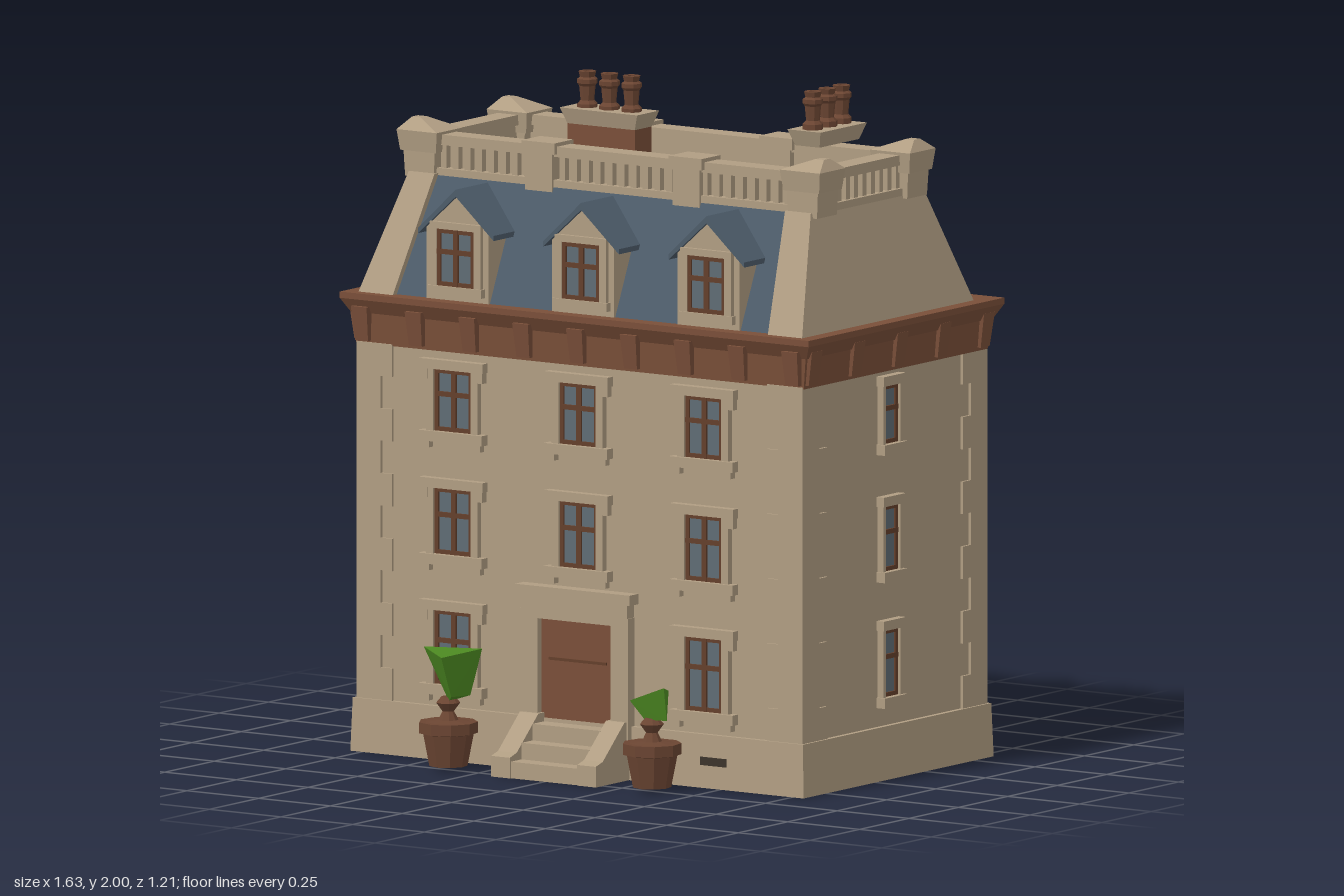
import * as THREE from 'three';
import { ConvexGeometry } from 'three/addons/geometries/ConvexGeometry.js';

const mat = (name, color) => Object.assign(new THREE.MeshStandardMaterial({ color }), { name });
const M = {
  stone: mat('stone', 0xb09d82),
  cornice: mat('corniceBrown', 0x7a4f39),
  slate: mat('slate', 0x4d5c6a),
  roof: mat('flatRoofGrey', 0x6c6b61),
  frame: mat('frameBrown', 0x643f2b),
  glass: mat('glass', 0x5f6c74),
  pot: mat('potBrown', 0x6b4532),
  leaf: mat('leafGreen', 0x4d8a22),
  dark: mat('ventDark', 0x3c332b),
};
const BODY_Z = -0.115, ROOF_Z = -0.085;
const COLUMNS = [-0.437, 0, 0.437];

function add(parent, name, geo, material, x = 0, y = 0, z = 0) {
  const mesh = new THREE.Mesh(geo, material);
  mesh.name = name;
  mesh.position.set(x, y, z);
  parent.add(mesh);
  return mesh;
}

function group(parent, name, x = 0, y = 0, z = 0, rotY = 0) {
  const g = new THREE.Group();
  g.name = name;
  g.position.set(x, y, z);
  g.rotation.y = rotY;
  parent.add(g);
  return g;
}

// box given by its centre in x and z and its bottom and top heights
function slab(parent, name, material, x, z, w, d, y0, y1) {
  return add(parent, name, new THREE.BoxGeometry(w, y1 - y0, d), material, x, (y0 + y1) / 2, z);
}

// box whose top has its own size and sideways shift
function frustum(w0, d0, w1, d1, y0, y1, shift = 0) {
  const geo = new THREE.BoxGeometry(1, 1, 1);
  const p = geo.attributes.position;
  for (let i = 0; i < p.count; i++) {
    const top = p.getY(i) > 0;
    p.setXYZ(i, p.getX(i) * (top ? w1 : w0) + (top ? shift : 0), top ? y1 : y0, p.getZ(i) * (top ? d1 : d0));
  }
  geo.computeVertexNormals();
  return geo;
}

function extrude(points, depth) {
  const shape = new THREE.Shape(points.map(([x, y]) => new THREE.Vector2(x, y)));
  return new THREE.ExtrudeGeometry(shape, { depth, bevelEnabled: false });
}

function faceted(profile, sides) {
  const geo = new THREE.LatheGeometry(profile.map(([r, y]) => new THREE.Vector2(r, y)), sides).toNonIndexed();
  geo.computeVertexNormals();
  return geo;
}

// glass with a brown frame and cross bars
function sash(parent, x, z, w, y0, y1, bars = true) {
  const g = group(parent, 'sash', x, 0, z);
  const h = y1 - y0, t = 0.012;
  slab(g, 'glass', M.glass, 0, 0.002, w, 0.006, y0, y1);
  for (const s of [-1, 1]) {
    slab(g, 'sashStile', M.frame, s * (w - t) / 2, 0.007, t, 0.008, y0, y1);
    slab(g, 'sashRail', M.frame, 0, 0.007, w, 0.008, s < 0 ? y0 : y1 - t, s < 0 ? y0 + t : y1);
  }
  if (bars) slab(g, 'mullion', M.frame, 0, 0.008, 0.016, 0.008, y0, y1);
  slab(g, 'transom', M.frame, 0, 0.008, w, 0.008, y0 + h * 0.56, y0 + h * 0.56 + 0.014);
}

// sash with stone jambs, lintel and sill
function wallWindow(parent, x, z, w, y0, y1, narrow) {
  const g = group(parent, 'window', x, 0, z);
  const j = narrow ? 0.014 : 0.024, ear = narrow ? 0.006 : 0.022;
  sash(g, 0, 0.001, w, y0, y1, !narrow);
  for (const s of [-1, 1]) slab(g, 'jamb', M.stone, s * (w + j) / 2, 0.008, j, 0.024, y0, y1);
  slab(g, 'lintel', M.stone, 0, 0.01, w + 2 * (j + ear), 0.032, y1, y1 + 0.028);
  slab(g, 'sill', M.stone, 0, 0.012, w + 2 * (j + ear), 0.036, y0 - 0.03, y0);
  if (!narrow) for (const s of [-1, 1]) {
    slab(g, 'lintelEar', M.stone, s * (w / 2 + j + 0.007), 0.008, 0.022, 0.026, y1 - 0.03, y1);
    slab(g, 'sillEar', M.stone, s * (w / 2 + j), 0.008, 0.02, 0.026, y0 - 0.05, y0 - 0.03);
  }
}

function dormer(parent, x) {
  const g = group(parent, 'dormer', x);
  const face = [[-0.108, 1.33], [0.108, 1.33], [0.108, 1.54], [0, 1.642], [-0.108, 1.54]];
  add(g, 'dormerBody', extrude(face, 0.18), M.stone, 0, 0, 0.24);
  const cover = [[-0.132, 1.52], [0, 1.637], [0.132, 1.52], [0.132, 1.535], [0, 1.658], [-0.132, 1.535]];
  add(g, 'dormerRoof', extrude(cover, 0.2), M.slate, 0, 0, 0.23);
  sash(g, 0, 0.42, 0.13, 1.375, 1.54);
  for (const s of [-1, 1]) slab(g, 'dormerJamb', M.stone, s * 0.077, 0.424, 0.024, 0.02, 1.355, 1.54);
  slab(g, 'dormerSill', M.stone, 0, 0.426, 0.19, 0.026, 1.35, 1.375);
  slab(g, 'dormerLintel', M.stone, 0, 0.424, 0.178, 0.02, 1.54, 1.56);
}

function chimneyPots(parent, x, y, z, dx, dz) {
  const geo = faceted([[0, 0], [0.03, 0], [0.03, 0.018], [0.02, 0.028], [0.024, 0.07], [0.03, 0.078],
    [0.03, 0.09], [0.022, 0.096], [0.026, 0.112], [0.012, 0.112], [0.01, 0.08], [0, 0.08]], 8);
  for (const i of [-1, 0, 1]) add(parent, 'chimneyPot', geo, M.pot, x + i * dx, y, z + i * dz);
}

// straight run of parapet with balusters, along local x
function balustrade(parent, x, z, length) {
  const g = group(parent, 'balustrade', x, 0, z);
  slab(g, 'bottomRail', M.stone, 0, 0, length, 0.075, 1.655, 1.685);
  slab(g, 'backing', M.stone, 0, -0.008, length, 0.03, 1.68, 1.76);
  slab(g, 'topRail', M.stone, 0, 0, length, 0.07, 1.752, 1.782);
  const n = Math.round(length / 0.042);
  for (let i = 0; i < n; i++) {
    slab(g, 'baluster', M.stone, ((i + 0.5) / n - 0.5) * length, 0.014, 0.02, 0.026, 1.68, 1.755);
  }
}

function planter(parent, x, z, leafPoints) {
  const g = group(parent, 'planter', x, 0, z);
  add(g, 'flowerPot', faceted([[0, 0.012], [0.056, 0.012], [0.074, 0.105], [0.086, 0.108], [0.086, 0.14],
    [0.066, 0.14], [0.03, 0.145], [0.017, 0.17], [0.035, 0.195], [0.02, 0.212], [0, 0.212]], 9), M.pot);
  add(g, 'foliage', new ConvexGeometry(leafPoints.map((p) => new THREE.Vector3(...p))), M.leaf);
}

export function createModel() {
  const model = new THREE.Group();
  model.name = 'townhouse';
  const house = group(model, 'house', 0, 0, BODY_Z);

  // plinth, walls and corner stones
  add(house, 'plinth', frustum(1.58, 0.962, 1.57, 0.952, 0, 0.155), M.stone);
  slab(house, 'walls', M.stone, 0, 0, 1.54, 0.92, 0.15, 1.2);
  const courses = 11, step = 1.035 / courses;
  for (const sx of [-1, 1]) for (const sz of [-1, 1]) for (let i = 0; i < courses; i++) {
    const l = i % 2 ? 0.085 : 0.125, y = 0.155 + i * step;
    slab(house, 'quoin', M.stone, sx * (0.778 - l / 2), sz * (0.468 - l / 2), l, l, y, y + step);
  }

  // cornice with brackets
  add(house, 'corniceFrieze', frustum(1.56, 0.93, 1.585, 0.945, 1.185, 1.29), M.cornice);
  add(house, 'corniceCrown', frustum(1.59, 0.945, 1.635, 0.99, 1.275, 1.315), M.cornice);
  slab(house, 'corniceTop', M.cornice, 0, 0, 1.635, 0.99, 1.315, 1.333);

  // four faces: windows, brackets and vents
  const faces = [
    ['front', 0, 0.46, 1.5], ['back', Math.PI, 0.46, 1.5],
    ['left', Math.PI / 2, 0.77, 0.87], ['right', -Math.PI / 2, 0.77, 0.87],
  ];
  for (const [name, turn, dist, span] of faces) {
    const wall = group(house, name + 'Face', 0, 0, 0, turn);
    const long = span > 1;
    const rows = long ? [[0.22, 0.435], [0.598, 0.79], [0.955, 1.135]] : [[0.24, 0.435], [0.605, 0.795], [0.975, 1.145]];
    rows.forEach(([y0, y1], row) => {
      if (!long) wallWindow(wall, name === 'left' ? -0.027 : 0.027, dist, 0.072, y0, y1, true);
      else for (const x of COLUMNS) {
        if (name === 'front' && row === 0 && x === 0) continue;
        wallWindow(wall, x, dist, 0.13, y0, y1, false);
      }
    });
    const n = long ? 9 : 5;
    for (let i = 0; i < n; i++) {
      const x = (i / (n - 1) - 0.5) * span;
      const bracket = frustum(0.045, 0.02, 0.055, 0.05, 1.195, 1.295);
      add(wall, 'corniceBracket', bracket, M.cornice, x, 0, dist + 0.012);
    }
    if (long) for (const s of [-1, 1]) slab(wall, 'vent', M.dark, s * 0.475, 0.477, 0.09, 0.008, 0.066, 0.09);
  }

  // mansard roof with stone end walls
  const roof = group(model, 'roof', 0, 0, ROOF_Z);
  add(roof, 'mansardSlate', frustum(1.36, 0.83, 1.26, 0.53, 1.33, 1.665), M.slate);
  for (const s of [-1, 1]) {
    add(roof, 'endWall', frustum(0.12, 0.87, 0.09, 0.57, 1.33, 1.67, -s * 0.058), M.stone, s * 0.714);
  }
  slab(roof, 'flatRoof', M.roof, 0, 0, 1.3, 0.42, 1.65, 1.69);
  for (const turn of [0, Math.PI]) {
    const side = group(roof, turn ? 'backRoof' : 'frontRoof', 0, 0, 0, turn);
    for (const x of COLUMNS) dormer(side, x);
    balustrade(side, 0, 0.228, 1.24);
    for (const x of [-0.257, 0.257]) {
      slab(side, 'pier', M.stone, x, 0.228, 0.095, 0.088, 1.65, 1.76);
      slab(side, 'pierCap', M.stone, x, 0.228, 0.115, 0.096, 1.76, 1.793);
    }
    const end = group(roof, 'endParapet', 0, 0, 0, turn + Math.PI / 2);
    balustrade(end, 0, 0.665, 0.38);
  }

  // corner piers with spreading caps and low points
  for (const sx of [-1, 1]) for (const sz of [-1, 1]) {
    const g = group(roof, 'cornerPier', sx * 0.668, 0, sz * 0.228);
    add(g, 'pierShaft', frustum(0.1, 0.1, 0.11, 0.105, 1.655, 1.74), M.stone);
    add(g, 'pierSpread', frustum(0.125, 0.115, 0.14, 0.13, 1.73, 1.79), M.stone);
    add(g, 'pierPoint', frustum(0.14, 0.13, 0.03, 0.03, 1.79, 1.822, sx * 0.035), M.stone);
  }

  // chimneys
  const stack = group(model, 'chimneys');
  slab(stack, 'chimneyStack', M.cornice, -0.28, -0.205, 0.235, 0.085, 1.66, 1.8);
  add(stack, 'chimneyCap', frustum(0.235, 0.085, 0.27, 0.112, 1.79, 1.836), M.stone, -0.28, 0, -0.205);
  chimneyPots(stack, -0.28, 1.828, -0.205, 0.077, 0);
  add(stack, 'sideChimneyCap', frustum(0.085, 0.2, 0.115, 0.235, 1.843, 1.89), M.stone, 0.612, 0, -0.012);
  chimneyPots(stack, 0.612, 1.888, -0.012, 0, 0.072);

  // doorway
  const entry = group(model, 'entrance');
  for (const s of [-1, 1]) slab(entry, 'doorJamb', M.stone, s * 0.157, 0.355, 0.06, 0.05, 0.1, 0.47);
  slab(entry, 'doorHead', M.stone, 0, 0.355, 0.37, 0.05, 0.445, 0.515);
  slab(entry, 'doorHood', M.stone, 0, 0.36, 0.4, 0.06, 0.51, 0.54);
  slab(entry, 'door', M.cornice, 0, 0.35, 0.255, 0.02, 0.14, 0.445);
  slab(entry, 'doorRail', M.frame, 0, 0.361, 0.2, 0.006, 0.325, 0.333);

  // steps between sloping side walls
  [0.53, 0.475, 0.42].forEach((z, i) => {
    slab(entry, 'step', M.stone, 0, (z + 0.33) / 2, 0.24, z - 0.33, i * 0.048, (i + 1) * 0.048);
  });
  const cheek = extrude([[-0.34, 0], [-0.34, 0.17], [-0.39, 0.17], [-0.5, 0.07], [-0.535, 0.06], [-0.535, 0]], 0.065);
  for (const s of [-1, 1]) {
    add(entry, 'stepSideWall', cheek, M.stone, s * 0.15 - 0.0325, 0, 0).rotation.y = Math.PI / 2;
  }

  // potted plants
  planter(model, -0.36, 0.495, [[-0.085, 0.35, 0], [0.06, 0.345, -0.085], [0.045, 0.34, 0.1],
    [0.01, 0.2, 0.01], [0.05, 0.215, -0.04], [0.045, 0.22, 0.05]]);
  planter(model, 0.35, 0.495, [[-0.08, 0.255, -0.005], [0, 0.28, -0.085], [0.09, 0.315, 0.07],
    [-0.025, 0.205, 0], [0.08, 0.215, 0.04], [0.01, 0.21, -0.03]]);
  return model;
}
